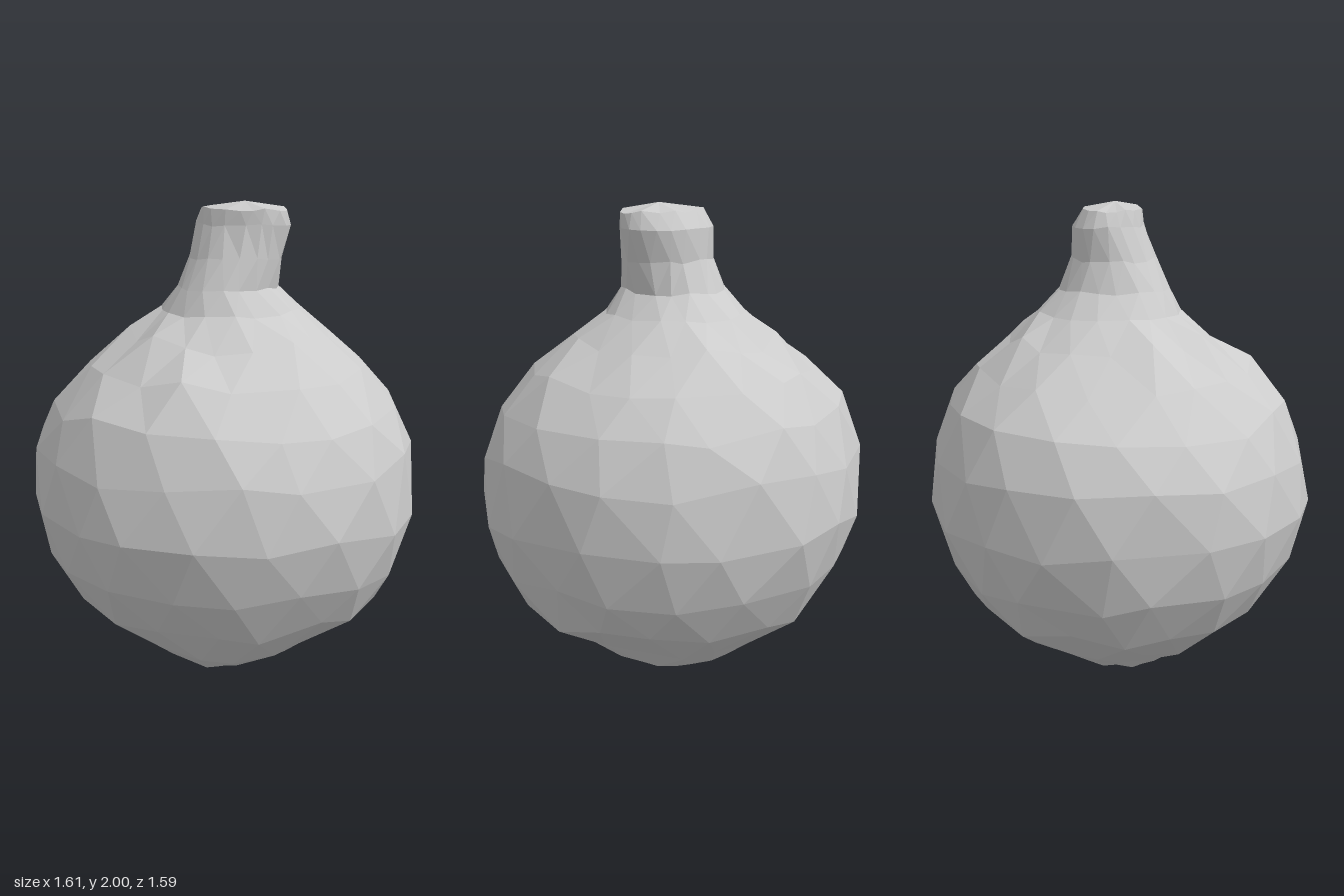
import * as THREE from 'three';

const SIDES = 18;

// Cross-sections from root to tip: y, xMin, xMax, zMin, zMax
const SECTIONS = [
  [0.04, -0.17, 0.16, -0.18, 0.19],
  [0.12, -0.29, 0.32, -0.32, 0.31],
  [0.22, -0.44, 0.45, -0.46, 0.45],
  [0.38, -0.64, 0.65, -0.63, 0.60],
  [0.56, -0.75, 0.75, -0.73, 0.73],
  [0.78, -0.80, 0.80, -0.79, 0.79],
  [1.02, -0.79, 0.78, -0.77, 0.76],
  [1.20, -0.71, 0.71, -0.70, 0.68],
  [1.35, -0.56, 0.58, -0.59, 0.54],
  [1.47, -0.40, 0.42, -0.46, 0.37],
  [1.57, -0.27, 0.29, -0.34, 0.25],
  [1.66, -0.19, 0.21, -0.25, 0.20],
  [1.78, -0.15, 0.23, -0.20, 0.14],
  [1.91, -0.14, 0.26, -0.20, 0.09],
  [1.97, -0.11, 0.25, -0.16, 0.08],
];
const NECK = 11; // section shared by bulb and stem

function seeded(seed) {
  return () => {
    seed = (seed * 16807) % 2147483647;
    return seed / 2147483647 - 0.5;
  };
}

// Rings of points, slightly irregular like hand-cut facets
function makeRings() {
  const rnd = seeded(77);
  return SECTIONS.map(([y, x0, x1, z0, z1], i) => {
    const body = i > 1 && i < NECK - 1 ? 1 : 0.25;
    return Array.from({ length: SIDES }, (_, j) => {
      const a = ((j + (i % 2) * 0.5 + rnd() * 0.4) / SIDES) * Math.PI * 2;
      const r = 1.006 + rnd() * 0.02;
      return new THREE.Vector3(
        (x0 + x1) / 2 + Math.cos(a) * r * (x1 - x0) / 2,
        y + rnd() * 0.06 * body,
        (z0 + z1) / 2 + Math.sin(a) * r * (z1 - z0) / 2
      );
    });
  });
}

// Skin a run of rings, closed by an optional point below or above
function skin(name, rings, bottom, top) {
  const pts = [];
  const face = (...p) => p.forEach((v) => pts.push(v.x, v.y, v.z));
  const last = rings[rings.length - 1];
  for (let j = 0; j < SIDES; j++) {
    const k = (j + 1) % SIDES;
    for (let i = 0; i < rings.length - 1; i++) {
      const [a, b, c, d] = [rings[i][j], rings[i][k], rings[i + 1][j], rings[i + 1][k]];
      // split each quad along its shorter diagonal
      if (a.distanceTo(d) < b.distanceTo(c)) {
        face(a, c, d);
        face(a, d, b);
      } else {
        face(a, c, b);
        face(b, c, d);
      }
    }
    if (bottom) face(bottom, rings[0][j], rings[0][k]);
    if (top) face(top, last[k], last[j]);
  }
  const geometry = new THREE.BufferGeometry();
  geometry.setAttribute('position', new THREE.Float32BufferAttribute(pts, 3));
  geometry.computeVertexNormals();
  const mesh = new THREE.Mesh(
    geometry,
    new THREE.MeshStandardMaterial({ color: 0xcccccc, flatShading: true })
  );
  mesh.name = name;
  return mesh;
}

export function createModel() {
  const group = new THREE.Group();
  group.name = 'onion';
  const rings = makeRings();
  // Round bulb with a small root point
  group.add(skin('bulb', rings.slice(0, NECK + 1), new THREE.Vector3(-0.04, 0, 0.04), null));
  // Cut stem leaning to the left, with a low domed tip
  group.add(skin('stem', rings.slice(NECK), null, new THREE.Vector3(0.08, 2, -0.03)));
  return group;
}
